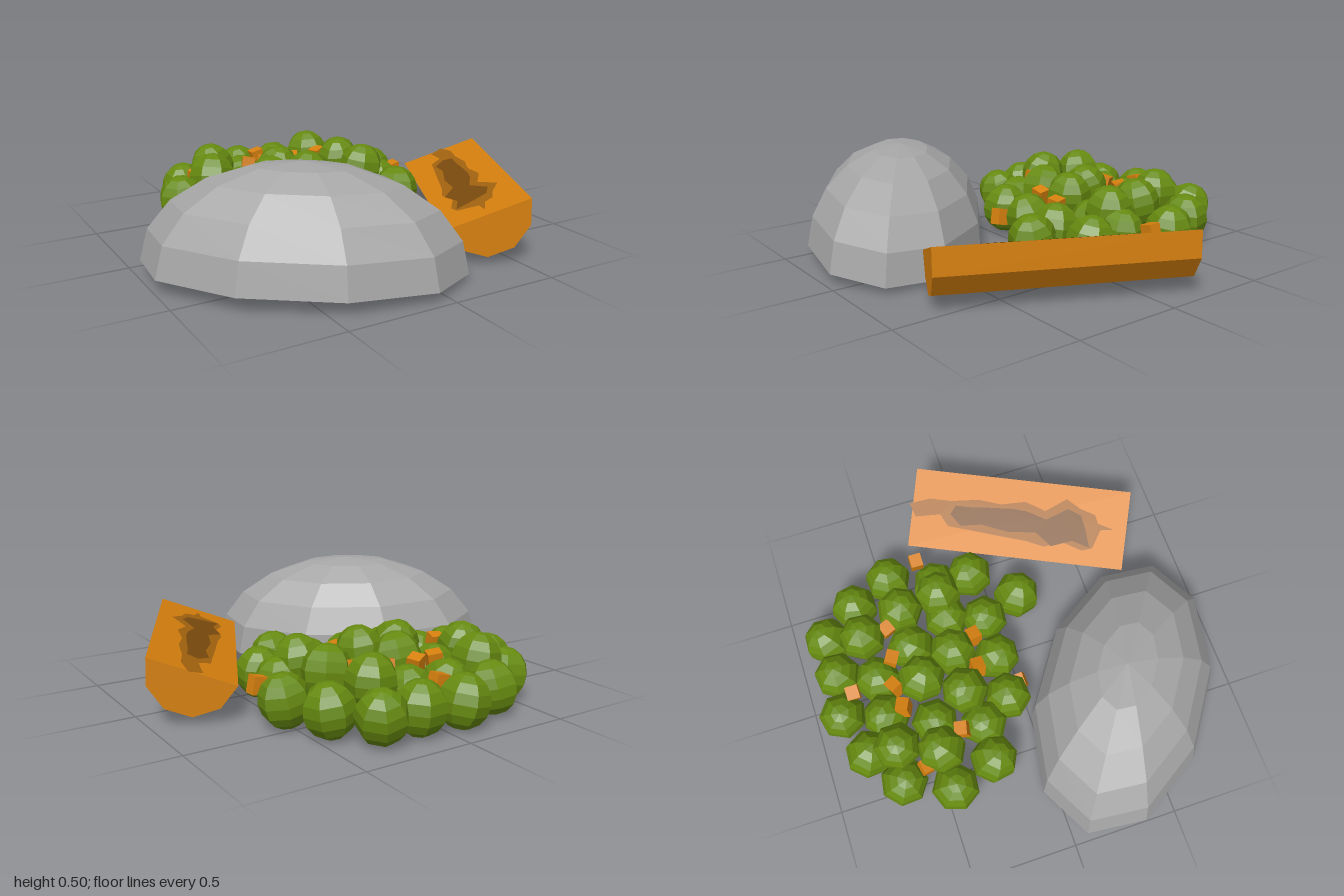
import * as THREE from 'three';

const mat = (name, color, extra = {}) => {
  const m = new THREE.MeshStandardMaterial({ color, flatShading: true, ...extra });
  m.name = name;
  return m;
};

function addMesh(parent, name, geometry, material) {
  const mesh = new THREE.Mesh(geometry, material);
  mesh.name = name;
  parent.add(mesh);
  return mesh;
}

export function createModel() {
  const stone = mat('stone grey', 0xa6a6a6);
  const wood = mat('orange wood', 0xd6800e);
  const stainLight = mat('light wood stain', 0xa3640f, { side: THREE.DoubleSide });
  const stainDark = mat('dark wood stain', 0x7a4b0d, { side: THREE.DoubleSide });
  const leaf = mat('leaf green', 0x668a10);

  const model = new THREE.Group();
  model.name = 'rockBushAndLog';

  // Rock: ten-sided hemisphere sheared into a long, slightly tilted dome
  const rock = new THREE.Group();
  rock.name = 'rock';
  model.add(rock);
  const shear = new THREE.Matrix4().makeBasis(
    new THREE.Vector3(0.325, 0.005, 0.52),
    new THREE.Vector3(0.022, 0.455, -0.018),
    new THREE.Vector3(-0.532, 0.028, 0.05)
  ).setPosition(-0.395, 0.053, 0.458);
  addMesh(rock, 'rockDome',
    new THREE.SphereGeometry(1, 10, 5, 0, Math.PI * 2, 0, Math.PI / 2).applyMatrix4(shear), stone);
  addMesh(rock, 'rockBase',
    new THREE.CircleGeometry(1, 10).rotateX(Math.PI / 2).applyMatrix4(shear), stone);

  // Split log: half of a ten-sided prism, rolled so its cut face leans
  const log = new THREE.Group();
  log.name = 'splitLog';
  log.position.set(0.593, 0.243, 0.26);
  log.rotation.y = -0.451;
  model.add(log);
  const roll = new THREE.Group();
  roll.name = 'rolledLog';
  roll.rotation.z = 0.35;
  log.add(roll);
  const section = new THREE.Shape(Array.from({ length: 6 }, (_, i) => {
    const a = Math.PI + i * Math.PI / 5;
    return new THREE.Vector2(0.197 * Math.cos(a), 0.197 * Math.sin(a));
  }));
  const logLength = 1.09;
  addMesh(roll, 'logBody',
    new THREE.ExtrudeGeometry(section, { depth: logLength, bevelEnabled: false })
      .translate(0, 0, -logLength / 2), wood);

  // Stains on the cut face, outlined as [across, along]
  const stain = (name, points, lift, material) => {
    const shape = new THREE.Shape(points.map(([t, s]) => new THREE.Vector2(t * 1.06, -s)));
    addMesh(roll, name,
      new THREE.ShapeGeometry(shape).rotateX(-Math.PI / 2).translate(0, lift, 0), material);
  };
  stain('outerStain', [
    [0, 0.48], [-0.01, 0.416], [-0.1, 0.385], [-0.116, 0.334], [-0.083, 0.218], [-0.118, 0.146],
    [-0.1, 0.043], [-0.09, -0.109], [-0.077, -0.274], [-0.072, -0.354], [-0.02, -0.4],
    [-0.043, -0.524], [0.016, -0.563], [0.05, -0.46], [0.05, -0.348], [0.07, -0.214],
    [0.06, -0.098], [0.085, 0.023], [0.052, 0.13], [0.12, 0.23], [0.08, 0.305], [0.06, 0.38], [0.02, 0.4],
  ], 0.002, stainLight);
  stain('innerStain', [
    [-0.099, 0.37], [-0.075, 0.28], [-0.112, 0.177], [-0.055, 0.093], [-0.067, -0.046],
    [-0.047, -0.188], [-0.063, -0.29], [-0.013, -0.349], [0.03, -0.326], [0.03, -0.237],
    [0.038, -0.152], [0.045, -0.03], [0.04, 0.036], [0.012, 0.139], [0.073, 0.242],
    [0.05, 0.31], [-0.013, 0.34],
  ], 0.004, stainDark);

  // Bush: faceted balls, a low layer [x, z] with a raised layer on top
  const bush = new THREE.Group();
  bush.name = 'bush';
  model.add(bush);
  const low = [
    [-0.08, -0.86], [0.12, -0.83], [0.31, -0.83], [-0.3, -0.79],
    [-0.48, -0.67], [-0.15, -0.66], [0.04, -0.65], [0.44, -0.66],
    [-0.58, -0.45], [-0.25, -0.45], [0.15, -0.45], [0.53, -0.46],
    [-0.51, -0.24], [-0.33, -0.23], [0.24, -0.24], [0.43, -0.24],
    [-0.24, -0.08], [-0.03, -0.07], [0.18, -0.06], [0.43, -0.06], [0.25, 0.13],
  ];
  const high = [
    [-0.33, -0.65], [0.24, -0.66], [-0.41, -0.46], [-0.05, -0.45],
    [0.32, -0.45], [-0.17, -0.27], [0.03, -0.27], [0.34, -0.25],
  ];
  const ball = new THREE.SphereGeometry(0.116, 7, 8);
  const addBalls = (name, list, y) => list.forEach(([x, z], i) => {
    const b = addMesh(bush, name, ball, leaf);
    b.position.set(x, y, z);
    b.rotation.set(0.2 * Math.sin(i * 2.3), i * 1.7, 0.2 * Math.cos(i * 3.1));
    b.scale.set(0.98, 1.04, 0.98);
  });
  addBalls('lowLeafBall', low, 0.131);
  addBalls('highLeafBall', high, 0.218);

  // Small wooden blocks between the balls
  [
    [-0.01, 0.2, -0.78], [-0.46, 0.2, -0.55], [-0.16, 0.22, -0.57], [-0.05, 0.22, -0.58],
    [0.09, 0.22, -0.56], [0.24, 0.23, -0.54], [-0.35, 0.22, -0.34], [-0.08, 0.21, -0.18],
    [0.08, 0.2, -0.15], [-0.18, 0.11, 0], [0.57, 0.16, -0.3],
  ].forEach(([x, y, z], i) => {
    const b = addMesh(bush, 'woodBlock', new THREE.BoxGeometry(0.065, 0.08, 0.06), wood);
    b.position.set(x, y, z);
    b.rotation.set(0.25 * Math.sin(i * 1.9), i > 8 ? 0 : 0.5 * Math.sin(i * 2.7), 0.25 * Math.cos(i * 1.3));
  });

  return model;
}
